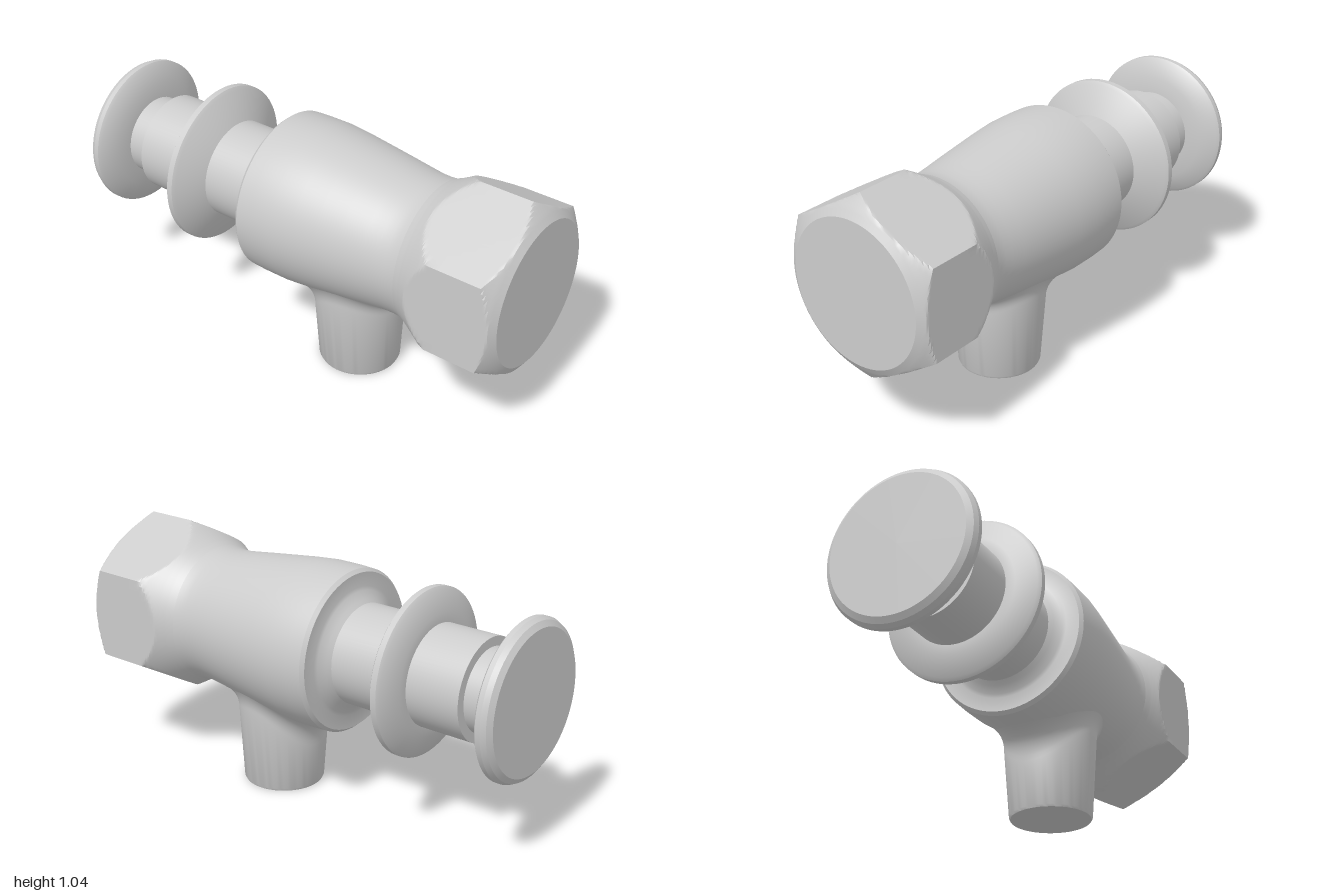
import * as THREE from 'three';
import { toCreasedNormals } from 'three/addons/utils/BufferGeometryUtils.js';

const AXIS_Y = 0.658;   // height of the main axis
const FLAT = 0.327;     // half the width across the hexagon flats
const material = new THREE.MeshStandardMaterial({ color: 0xcccccc });

// Profiles are [position along x, radius]
const bodyProfile = [[-0.18, 0.322], [-0.165, 0.335], [-0.1, 0.338], [0, 0.338], [0.1, 0.329],
  [0.2, 0.317], [0.3, 0.305], [0.4, 0.292], [0.46, 0.285], [0.5, 0.284], [0.53, 0.286], [0.56, 0.294]];

function radiusAt(profile, x) {
  for (let i = 1; i < profile.length; i++) {
    const [x0, r0] = profile[i - 1], [x1, r1] = profile[i];
    if (x <= x1) return THREE.MathUtils.lerp(r0, r1, Math.max(0, (x - x0) / (x1 - x0)));
  }
  return profile[profile.length - 1][1];
}

// Splits every stretch of a profile into shorter steps
function subdivide(profile, steps) {
  const out = [profile[0]];
  for (let i = 1; i < profile.length; i++) {
    for (let s = 1; s <= steps; s++) {
      const t = s / steps;
      out.push([0, 1].map(k => THREE.MathUtils.lerp(profile[i - 1][k], profile[i][k], t)));
    }
  }
  return out;
}

function lathe(profile, segments) {
  return new THREE.LatheGeometry(profile.map(([x, r]) => new THREE.Vector2(r, x)), segments);
}

function addMesh(group, name, geometry, crease = 0.45) {
  const mesh = new THREE.Mesh(toCreasedNormals(geometry, crease), material);
  mesh.name = name;
  group.add(mesh);
  return mesh;
}

// A part turned around the main x axis
function addTurned(group, name, profile, segments = 72) {
  addMesh(group, name, lathe(profile, segments).rotateZ(-Math.PI / 2)).position.y = AXIS_Y;
}

// Turned blank cut by six flats, with corners pointing up and down
function nutGeometry() {
  const blank = [[0.55, 0.291], [0.58, 0.304], [0.61, 0.32], [0.64, 0.337], [0.68, 0.36], [0.72, 0.378],
    [0.94, 0.378], [0.98, 0.325], [1, 0.294]];
  const geometry = lathe([...subdivide(blank, 5), [1, 0]], 120);
  const pos = geometry.attributes.position;
  for (let i = 0; i < pos.count; i++) {
    const x = pos.getX(i), z = pos.getZ(i);
    const angle = Math.atan2(x, z), sixth = Math.PI / 3;
    const limit = FLAT / Math.cos(angle - Math.round(angle / sixth) * sixth);
    const r = Math.hypot(x, z);
    const k = r > limit ? limit / r : 1;
    pos.setX(i, x * k);
    pos.setZ(i, z * k);
  }
  return geometry.rotateZ(-Math.PI / 2);
}

// Tapered spout whose top flares out in a fillet onto the body
function outletGeometry() {
  const cx = 0.203, filletSteps = 12;
  const rows = [[0, 0], [0, 1], [1, 1]];
  for (let i = 0; i <= filletSteps; i++) rows.push([2 + i, 1]);
  const geometry = lathe(rows, 72);
  const pos = geometry.attributes.position;
  const underside = (x, z) => {
    const r = radiusAt(bodyProfile, x) - 0.003;
    return AXIS_Y - Math.sqrt(Math.max(0, r * r - z * z));
  };
  for (let i = 0; i < pos.count; i++) {
    const row = pos.getY(i), dx = pos.getX(i), dz = pos.getZ(i);
    let r = 0.165, y = 0;
    if (row === 1) { r = 0.17; y = 0.01; }
    if (row >= 2) {
      const t = (row - 2) / filletSteps;
      const neck = 0.181 + 0.014 * dz * dz;
      const fillet = 0.06 + (dx < 0 ? 0.07 : 0.01) * dx * dx;
      const corner = underside(cx + neck * dx, neck * dz);
      const foot = underside(cx + (neck + fillet) * dx, (neck + fillet) * dz);
      r = neck + fillet * t * t;
      y = (1 - t) * (1 - t) * (corner - fillet) + 2 * t * (1 - t) * corner + t * t * foot;
    }
    pos.setXYZ(i, cx + r * dx, y, r * dz);
  }
  return geometry;
}

export function createModel() {
  const group = new THREE.Group();
  group.name = 'valve';

  // Stem side, from the free end towards the body
  addTurned(group, 'endFlange', [[-1, 0], [-1, 0.285], [-0.985, 0.307], [-0.965, 0.317], [-0.945, 0.317],
    [-0.935, 0.305], [-0.905, 0.235], [-0.9, 0.16]]);
  addTurned(group, 'stemNeck', [[-0.92, 0.168], [-0.79, 0.168]]);
  addTurned(group, 'stem', [[-0.8, 0.16], [-0.8, 0.206], [-0.2, 0.206]]);
  addTurned(group, 'collar', [[-0.57, 0.2], [-0.57, 0.245], [-0.54, 0.325], [-0.53, 0.338], [-0.505, 0.338],
    [-0.495, 0.325], [-0.44, 0.205]]);

  // Body with its recessed shoulder
  addTurned(group, 'body', [[-0.22, 0.204], [-0.205, 0.222], [-0.185, 0.25], [-0.18, 0.265], ...bodyProfile], 96);

  addMesh(group, 'hexNut', nutGeometry(), 0.4).position.y = AXIS_Y;
  addMesh(group, 'outlet', outletGeometry(), 0.6);
  return group;
}
